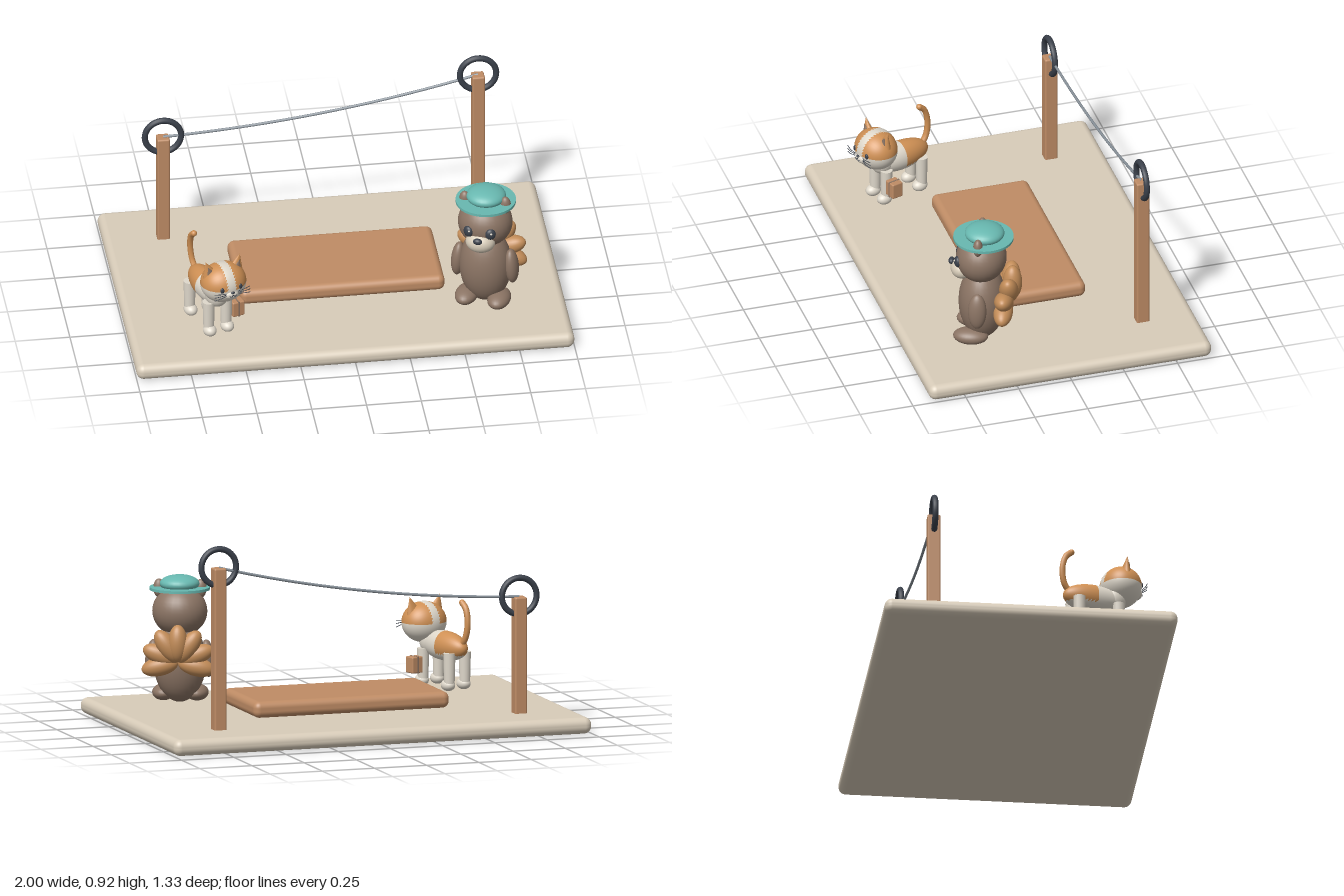
import * as THREE from 'three';
import { RoundedBoxGeometry } from 'three/addons/geometries/RoundedBoxGeometry.js';

const mat = (name, color) => Object.assign(new THREE.MeshStandardMaterial({ color }), { name });

export function createModel() {
  const M = {
    stone: mat('pale stone', 0xd8ccb9), wood: mat('warm wood', 0xbf8c65), dark: mat('charcoal', 0x3b414b),
    wire: mat('grey wire', 0x8b949c), fur: mat('brown fur', 0x8b7464), tan: mat('tan feathers', 0xc28c58),
    muzzle: mat('muzzle cream', 0xd6cbb8), teal: mat('teal felt', 0x68b8b0),
    orange: mat('orange fur', 0xcf9054), cream: mat('cream fur', 0xdfd8cb),
  };
  const root = new THREE.Group();

  const add = (parent, name, geo, material, x = 0, y = 0, z = 0) => {
    const m = new THREE.Mesh(geo, material);
    m.name = name;
    m.position.set(x, y, z);
    parent.add(m);
    return m;
  };
  const ball = (parent, name, material, [x, y, z], [rx, ry, rz]) =>
    add(parent, name, new THREE.SphereGeometry(1, 28, 20).scale(rx, ry, rz), material, x, y, z);
  const tube = (parent, name, material, points, r, n = 32) =>
    add(parent, name, new THREE.TubeGeometry(
      new THREE.CatmullRomCurve3(points.map(p => new THREE.Vector3(...p))), n, r, 8), material);
  const group = (name, x, z, turn) => {
    const g = new THREE.Group();
    g.name = name;
    g.position.set(x, 0, z);
    g.rotation.y = turn;
    root.add(g);
    return g;
  };
  // Splits a geometry in two material groups by a rule on each face centre
  const twoTone = (geo, rule) => {
    const p = geo.attributes.position, idx = geo.index.array, sets = [[], []];
    for (let i = 0; i < idx.length; i += 3) {
      const f = [idx[i], idx[i + 1], idx[i + 2]];
      const mid = get => f.reduce((s, k) => s + p[get](k), 0) / 3;
      sets[rule(mid('getX'), mid('getY'), mid('getZ')) ? 1 : 0].push(...f);
    }
    geo.setIndex([...sets[0], ...sets[1]]);
    geo.addGroup(0, sets[0].length, 0);
    geo.addGroup(sets[0].length, sets[1].length, 1);
    return geo;
  };

  // Ground slab and low platform
  add(root, 'base', new RoundedBoxGeometry(2, 0.075, 1.333, 5, 0.034), M.stone, 0, 0.0375, 0);
  add(root, 'platform', new RoundedBoxGeometry(0.935, 0.075, 0.457, 5, 0.03), M.wood, 0, 0.118, -0.002);

  // Posts with rings, and the sagging wire between them
  const wireZ = -0.418;
  for (const [x, top] of [[-0.732, 0.607], [0.707, 0.815]]) {
    add(root, 'post', new RoundedBoxGeometry(0.058, top - 0.06, 0.06, 2, 0.008), M.wood, x, (top + 0.06) / 2, wireZ);
    add(root, 'ring', new THREE.TorusGeometry(0.083, 0.014, 12, 48), M.dark, x, top + 0.003, wireZ);
  }
  add(root, 'wire', new THREE.TubeGeometry(new THREE.QuadraticBezierCurve3(
    new THREE.Vector3(-0.732, 0.607, wireZ), new THREE.Vector3(0, 0.632, wireZ),
    new THREE.Vector3(0.707, 0.815, wireZ)), 48, 0.0065, 8), M.wire);

  // Standing brown animal with a hat
  const bear = group('bear', 0.645, 0.3, -0.4);
  ball(bear, 'body', M.fur, [0, 0.272, 0.015], [0.12, 0.185, 0.108]);
  ball(bear, 'head', M.fur, [0, 0.502, 0.02], [0.125, 0.115, 0.115]);
  ball(bear, 'muzzle', M.muzzle, [0, 0.443, 0.105], [0.068, 0.05, 0.055]);
  ball(bear, 'nose', M.dark, [0, 0.472, 0.155], [0.021, 0.015, 0.014]);
  for (const s of [-1, 1]) {
    ball(bear, 'ear', M.fur, [s * 0.095, 0.605, 0.025], [0.026, 0.043, 0.022]);
    ball(bear, 'eye', M.dark, [s * 0.052, 0.5, 0.122], [0.024, 0.027, 0.016]).rotation.y = s * 0.4;
    ball(bear, 'eyeGlint', M.cream, [s * 0.052 + 0.007, 0.509, 0.136], [0.005, 0.005, 0.004]);
    ball(bear, 'arm', M.fur, [s * 0.125, 0.285, 0.025], [0.032, 0.086, 0.042]).rotation.z = s * 0.08;
    ball(bear, 'foot', M.fur, [s * 0.076, 0.124, 0.06], [0.052, 0.037, 0.08]);
  }

  // Fanned tail: rounded feathers spread around the back
  for (let i = -3; i <= 3; i++) {
    const a = i * 0.6, s = Math.sin(a);
    ball(bear, 'tailFeather', M.tan,
      [s * 0.085, 0.285 + Math.cos(a) * 0.09, -0.122 + 0.035 * s * s],
      [0.044, 0.085, 0.044]).rotation.z = -a;
  }

  // Hat
  add(bear, 'hatBrim', new THREE.CylinderGeometry(0.137, 0.137, 0.012, 40), M.teal, 0, 0.608, 0.01);
  ball(bear, 'hatCrown', M.teal, [0, 0.63, 0.005], [0.09, 0.04, 0.09]);

  // Two-coloured cat
  const cat = group('cat', -0.63, 0.33, 0.32);
  const bodyGeo = twoTone(new THREE.SphereGeometry(1, 32, 28).rotateX(Math.PI / 2),
    (x, y, z) => z > 0 || y < -0.45).scale(0.062, 0.068, 0.15);
  add(cat, 'body', bodyGeo, [M.orange, M.cream], 0, 0.275, -0.01);
  ball(cat, 'chest', M.cream, [0, 0.285, 0.09], [0.055, 0.065, 0.055]);

  const head = new THREE.Group();
  head.name = 'head';
  head.position.set(0.012, 0.368, 0.13);
  cat.add(head);
  const headGeo = twoTone(new THREE.SphereGeometry(1, 40, 40).rotateZ(Math.PI / 2),
    (x, y) => Math.abs(x) < 0.19 || y < 0).scale(0.107, 0.094, 0.094);
  add(head, 'skull', headGeo, [M.orange, M.cream]);
  ball(head, 'snout', M.cream, [0, -0.022, 0.077], [0.036, 0.024, 0.026]);
  ball(head, 'nose', M.dark, [0, -0.006, 0.1], [0.009, 0.006, 0.006]);
  for (const s of [-1, 1]) {
    const ear = add(head, 'ear', new THREE.ConeGeometry(0.036, 0.075, 16).scale(1, 1, 0.6), M.orange,
      s * 0.075, 0.085, -0.005);
    ear.rotation.z = -s * 0.3;
    add(ear, 'innerEar', new THREE.ConeGeometry(0.02, 0.045, 12).scale(1, 1, 0.4), M.fur, 0, -0.008, 0.013);
    ball(head, 'eye', M.dark, [s * 0.045, 0.008, 0.083], [0.01, 0.014, 0.007]);
    tube(head, 'mouth', M.dark, [[0, -0.014, 0.103], [s * 0.008, -0.025, 0.103], [s * 0.018, -0.021, 0.1]], 0.002, 8);
    for (const k of [-1, 0, 1]) {
      tube(head, 'whisker', M.dark, [[s * 0.03, -0.014 + k * 0.006, 0.093],
        [s * 0.06, -0.012 + k * 0.011, 0.098], [s * 0.09, -0.014 + k * 0.016, 0.092]], 0.0016, 8);
    }
    for (const z of [-0.1, 0.095]) {
      add(cat, 'leg', new THREE.CylinderGeometry(0.028, 0.024, 0.15, 16), M.cream, s * 0.044, 0.18, z);
      ball(cat, 'paw', M.cream, [s * 0.044, 0.108, z + 0.01], [0.03, 0.027, 0.037]);
    }
  }

  // Cat's upright curling tail
  tube(cat, 'tail', M.orange, [[0, 0.29, -0.13], [-0.004, 0.33, -0.158], [-0.008, 0.4, -0.168],
    [-0.01, 0.46, -0.152], [-0.01, 0.485, -0.125]], 0.014);
  ball(cat, 'tailTip', M.orange, [-0.01, 0.485, -0.125], [0.014, 0.014, 0.014]);

  // Small satchel carried at the cat's left side
  add(cat, 'satchel', new RoundedBoxGeometry(0.06, 0.075, 0.055, 2, 0.006), M.wood, 0.098, 0.185, 0.09);
  add(cat, 'satchelBand', new THREE.BoxGeometry(0.007, 0.077, 0.057), M.fur, 0.098, 0.185, 0.09);

  return root;
}
